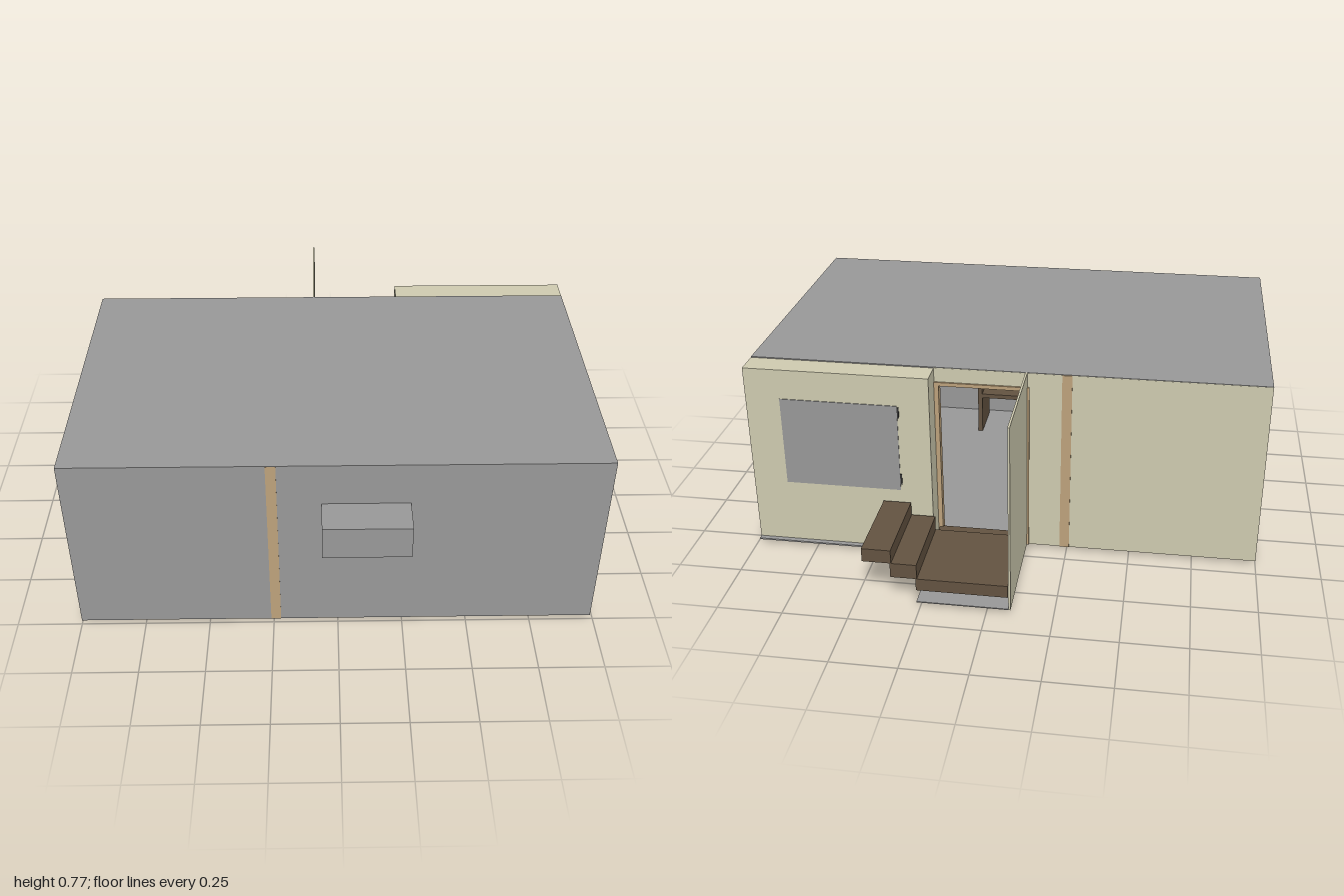
import * as THREE from 'three';

const mat = (color, side = THREE.FrontSide) =>
  new THREE.MeshStandardMaterial({ color, side, flatShading: true });
const grey = mat(0x999999);
const cream = mat(0xcfcbb0);
const brown = mat(0x635341);
const tan = mat(0xbda27c);
const red = mat(0x6b3a38);
const black = mat(0x333333);

export function createModel() {
  const root = new THREE.Group();
  root.name = 'cabin';

  // Box given by its extents on each axis
  const box = (name, m, x0, x1, y0, y1, z0, z1, parent = root) => {
    const mesh = new THREE.Mesh(new THREE.BoxGeometry(x1 - x0, y1 - y0, z1 - z0), m);
    mesh.position.set((x0 + x1) / 2, (y0 + y1) / 2, (z0 + z1) / 2);
    mesh.name = name;
    parent.add(mesh);
    return mesh;
  };

  const B = 0.015, T = 0.775, W = 0.02;

  // Shell of the room
  box('floor', grey, -1, 0.99, B, B + 0.01, -0.43, 0.745);
  box('floorUnderBay', grey, 0.27, 0.99, B, B + 0.006, -0.55, -0.43);
  box('floorUnderSteps', grey, -0.085, 0.265, B, B + 0.004, -0.885, -0.43);
  box('roof', grey, -1, 0.99, T - W, T, -0.43, 0.745);
  box('frontWall', grey, -1, 0.99, B, T, 0.745 - W, 0.745);
  box('endWallRight', grey, -1, -1 + W, B, T, -0.425, 0.745);
  box('endWallLeft', grey, 0.99 - W, 0.99, B, T, -0.425, 0.745);

  // Back wall with the door opening
  box('backWall', cream, -1, -0.085, B, T - 0.002, -0.431, -0.41);
  box('doorHeader', cream, -0.085, 0.27, 0.7, T - 0.002, -0.431, -0.41);

  // Projecting bay with its window
  box('bay', cream, 0.27, 0.991, B, T - 0.004, -0.53, -0.42);
  box('bayWindow', grey, 0.395, 0.855, 0.285, 0.65, -0.533, -0.528);
  for (const y of [0.31, 0.6])
    box('windowHinge', black, 0.388, 0.395, y, y + 0.045, -0.534, -0.529);

  // Partition whose ends show on the front and back walls
  box('partition', tan, -0.26, -0.222, B, T - 0.002, -0.434, 0.747);

  // Door frame and the door standing open
  const door = new THREE.Group();
  door.name = 'doorway';
  root.add(door);
  box('doorJamb', tan, -0.098, -0.08, B, 0.715, -0.438, -0.405, door);
  box('doorJamb', tan, 0.252, 0.27, B, 0.715, -0.438, -0.405, door);
  box('doorLintel', tan, -0.098, 0.27, 0.7, 0.715, -0.438, -0.405, door);
  box('openDoor', cream, -0.09, -0.082, B, T, -0.885, -0.43, door);

  // Threshold, landing and rising steps
  const steps = new THREE.Group();
  steps.name = 'steps';
  root.add(steps);
  box('threshold', brown, -0.085, 0.265, B, 0.07, -0.545, -0.43, steps);
  [[-0.08, 0.265, 0.07, 0.12], [0.26, 0.36, 0.12, 0.18], [0.355, 0.465, 0.18, 0.235]]
    .forEach(([x0, x1, y0, y1], i) =>
      box('step' + (i + 1), brown, x0, x1, y0, y1, -0.885, -0.54, steps));

  // Shelving inside, seen through the doorway
  const shelf = new THREE.Group();
  shelf.name = 'shelving';
  root.add(shelf);
  for (const x of [-0.06, 0.25])
    box('shelfPost', brown, x, x + 0.02, B, 0.68, 0.5, 0.7, shelf);
  for (const y of [0.2, 0.36, 0.52, 0.66])
    box('shelfBoard', brown, -0.06, 0.27, y, y + 0.02, 0.5, 0.7, shelf);

  // Cooling unit on the front wall
  box('wallUnit', grey, -0.06, 0.265, 0.465, 0.6, 0.74, 0.885);

  // Rafter ends along the left end wall
  for (const z of [0.725, 0.545, 0.39, 0.232, 0.076, -0.086, -0.243, -0.382])
    box('rafterEnd', tan, 0.97, 0.991, 0.69, T - 0.002, z - 0.003, z + 0.003);

  // Ring on the end wall
  const ring = new THREE.Mesh(new THREE.TorusGeometry(0.02, 0.004, 6, 20), black);
  ring.name = 'wallRing';
  ring.rotation.y = Math.PI / 2;
  ring.position.set(0.994, 0.735, 0.5);
  root.add(ring);

  // Mat and drain below the floor
  box('mat', red, -0.085, 0.195, 0.011, B + 0.001, -0.29, -0.05);
  box('matTab', red, 0.14, 0.265, 0.011, B + 0.001, -0.355, -0.285);
  const drain = new THREE.Mesh(new THREE.CylinderGeometry(0.022, 0.022, 0.016, 16), black);
  drain.name = 'drain';
  drain.position.set(0.89, 0.008, -0.48);
  root.add(drain);

  return root;
}
